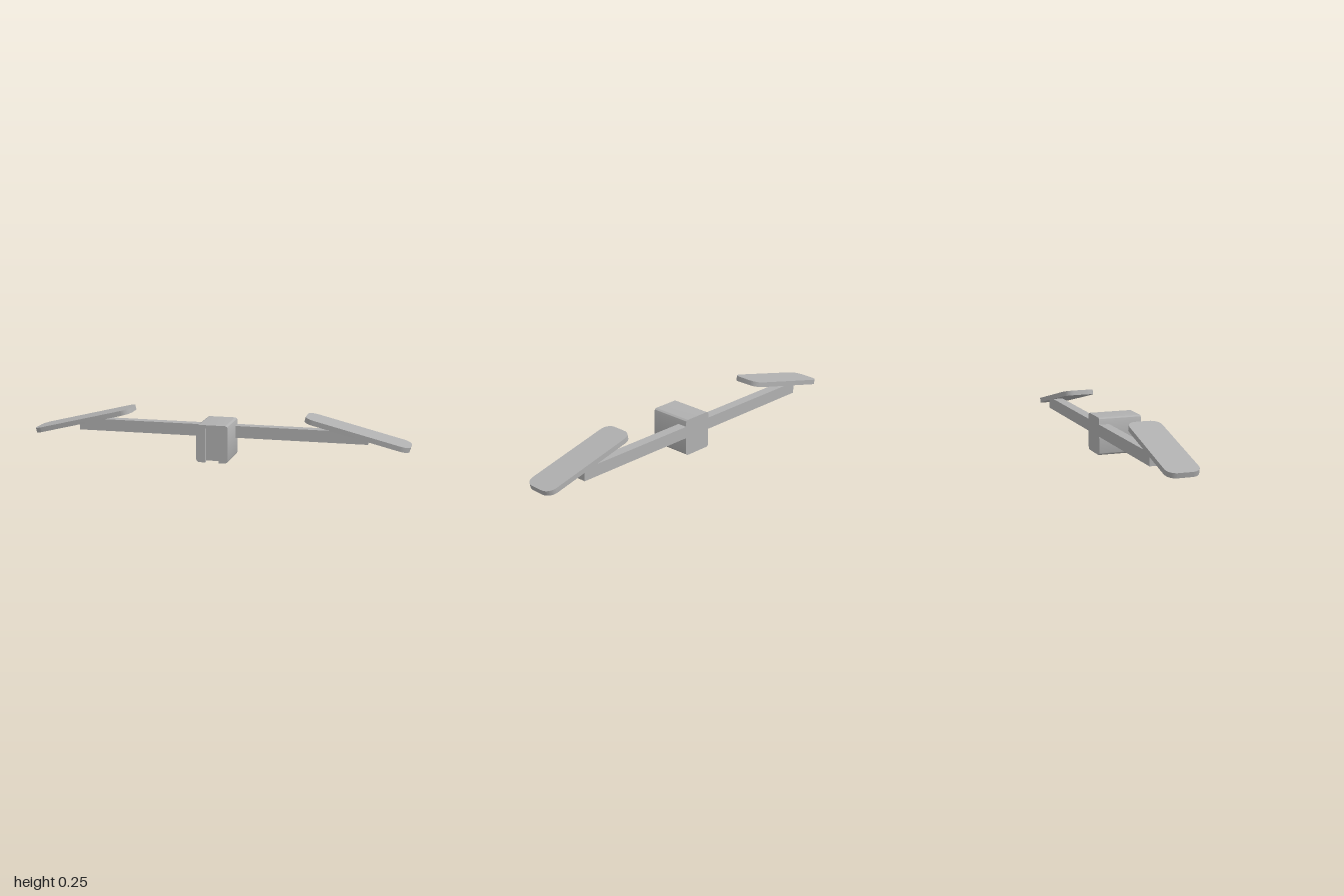
import * as THREE from 'three';
import { toCreasedNormals } from 'three/addons/utils/BufferGeometryUtils.js';

const HUB_W = 0.083, HUB_H = 0.196, HUB_R = 0.016;

// Hub cross-section; a slot of half-width w is left open at the bottom when w > 0
function hubShape(w = 0, top = 0) {
  const s = new THREE.Shape();
  const q = Math.PI / 2, x = HUB_W - HUB_R;
  s.absarc(x, HUB_R, HUB_R, -q, 0);
  s.absarc(x, HUB_H - HUB_R, HUB_R, 0, q);
  s.absarc(-x, HUB_H - HUB_R, HUB_R, q, 2 * q);
  s.absarc(-x, HUB_R, HUB_R, 2 * q, 3 * q);
  if (w > 0) {
    s.lineTo(-w, 0);
    s.lineTo(-w, top);
    s.lineTo(w, top);
    s.lineTo(w, 0);
  }
  s.closePath();
  return s;
}

// Rounded rectangle centred on the origin
function padShape(l, w, r) {
  const s = new THREE.Shape();
  const q = Math.PI / 2, x = l / 2 - r, y = w / 2 - r;
  s.absarc(x, y, r, 0, q);
  s.absarc(-x, y, r, q, 2 * q);
  s.absarc(-x, -y, r, 2 * q, 3 * q);
  s.absarc(x, -y, r, 3 * q, 4 * q);
  s.closePath();
  return s;
}

function extrude(shape, depth) {
  const g = new THREE.ExtrudeGeometry(shape, { depth, bevelEnabled: false, curveSegments: 8 });
  return toCreasedNormals(g, 0.6);
}

export function createModel() {
  const group = new THREE.Group();
  const grey = new THREE.MeshStandardMaterial({ color: 0xb0b0b0 });
  grey.name = 'plainGrey';

  function add(name, geometry, x = 0, y = 0, z = 0) {
    const mesh = new THREE.Mesh(geometry, grey);
    mesh.name = name;
    mesh.position.set(x, y, z);
    group.add(mesh);
    return mesh;
  }

  // Hub: solid block, then a wide channel, then lips that narrow its mouth
  add('hubBody', extrude(hubShape(), 0.183), 0, 0, -0.114);
  add('hubChannel', extrude(hubShape(0.055, 0.178), 0.025), 0, 0, 0.069);
  add('hubLips', extrude(hubShape(0.036, 0.178), 0.02), 0, 0, 0.094);

  // Tilted pad, laid flat with its thickness along y
  const padGeometry = extrude(padShape(0.55, 0.17, 0.05), 0.026);
  padGeometry.translate(0, 0, -0.013);
  padGeometry.rotateX(-Math.PI / 2);

  for (const side of [1, -1]) {
    const label = side > 0 ? 'left' : 'right';
    const length = 0.777 - HUB_W;
    add(label + 'Arm', new THREE.BoxGeometry(length, 0.063, 0.054),
      side * (HUB_W + length / 2), 0.13, -0.087);
    const pad = add(label + 'Pad', padGeometry, side * 0.73, 0.167, -0.029);
    pad.rotation.z = -side * 0.243;
  }
  return group;
}
